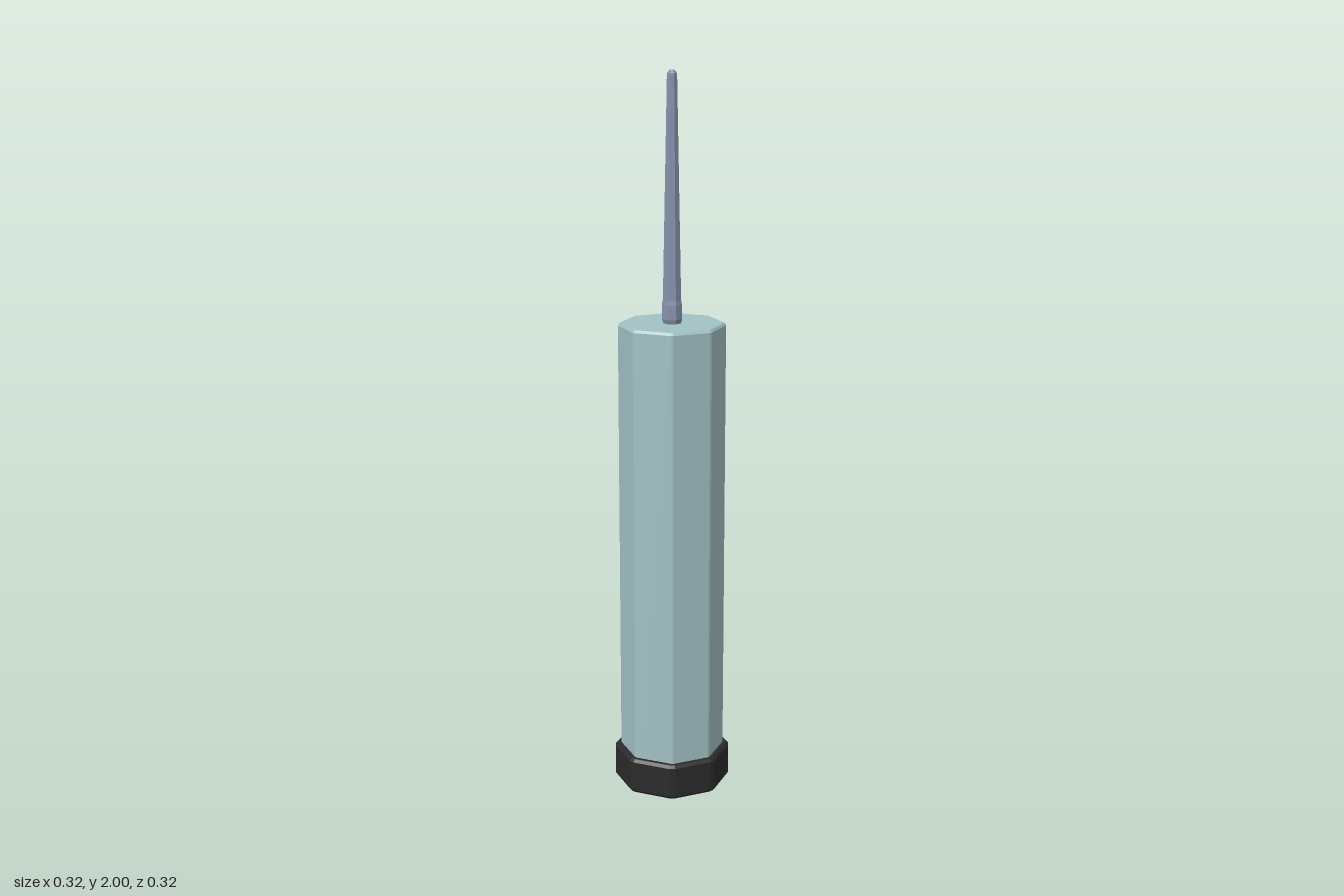
import * as THREE from 'three';

// Capped octagonal prism with chamfered corners; rings are [corner radius, half chamfer width, y], bottom to top
function chamferedPrism(rings) {
  const n = 16;
  const loops = rings.map(([r, w, y]) => {
    const pts = [];
    for (let k = 0; k < 8; k++) {
      const a = k * Math.PI / 4;
      const s = Math.sin(a), c = Math.cos(a);
      for (const d of [-w, w]) pts.push([r * s + d * c, y, r * c - d * s]);
    }
    return pts;
  });
  const pos = [];
  const tri = (a, b, c) => pos.push(...a, ...b, ...c);
  for (let i = 0; i < loops.length - 1; i++) {
    const lo = loops[i], hi = loops[i + 1];
    for (let j = 0; j < n; j++) {
      const k = (j + 1) % n;
      tri(lo[j], lo[k], hi[k]);
      tri(lo[j], hi[k], hi[j]);
    }
  }
  // End caps
  const bottom = loops[0], top = loops[loops.length - 1];
  const cb = [0, bottom[0][1], 0], ct = [0, top[0][1], 0];
  for (let j = 0; j < n; j++) {
    const k = (j + 1) % n;
    tri(cb, bottom[k], bottom[j]);
    tri(ct, top[j], top[k]);
  }
  const geo = new THREE.BufferGeometry();
  geo.setAttribute('position', new THREE.Float32BufferAttribute(pos, 3));
  geo.computeVertexNormals();
  return geo;
}

export function createModel() {
  const group = new THREE.Group();
  const material = (name, color) => {
    const m = new THREE.MeshStandardMaterial({ color, flatShading: true });
    m.name = name;
    return m;
  };
  const teal = material('paleTeal', 0xa2c1c4);
  const black = material('black', 0x2b2b2b);
  const steel = material('blueGrey', 0x8491ab);

  const add = (name, geo, mat) => {
    const mesh = new THREE.Mesh(geo, mat);
    mesh.name = name;
    group.add(mesh);
    return mesh;
  };

  // Tall octagonal body with a narrow bevel at the top
  add('body', chamferedPrism([
    [0.146, 0.003, 0.004],
    [0.146, 0.003, 1.326],
    [0.1415, 0.001, 1.333],
  ]), teal);

  // Wider bevelled collar at the foot
  add('baseCollar', chamferedPrism([
    [0.156, 0.006, 0],
    [0.1625, 0.008, 0.008],
    [0.1625, 0.008, 0.094],
    [0.156, 0.006, 0.102],
  ]), black);

  // Slim tapering antenna with a softened foot and tip
  const profile = [
    [0, 1.332], [0.025, 1.332], [0.0295, 1.345], [0.0285, 1.385],
    [0.0265, 1.395], [0.0145, 1.985], [0.0135, 1.992], [0.007, 2], [0, 2],
  ].map(([r, y]) => new THREE.Vector2(r, y));
  add('antenna', new THREE.LatheGeometry(profile, 8, Math.PI / 8), steel);

  return group;
}
